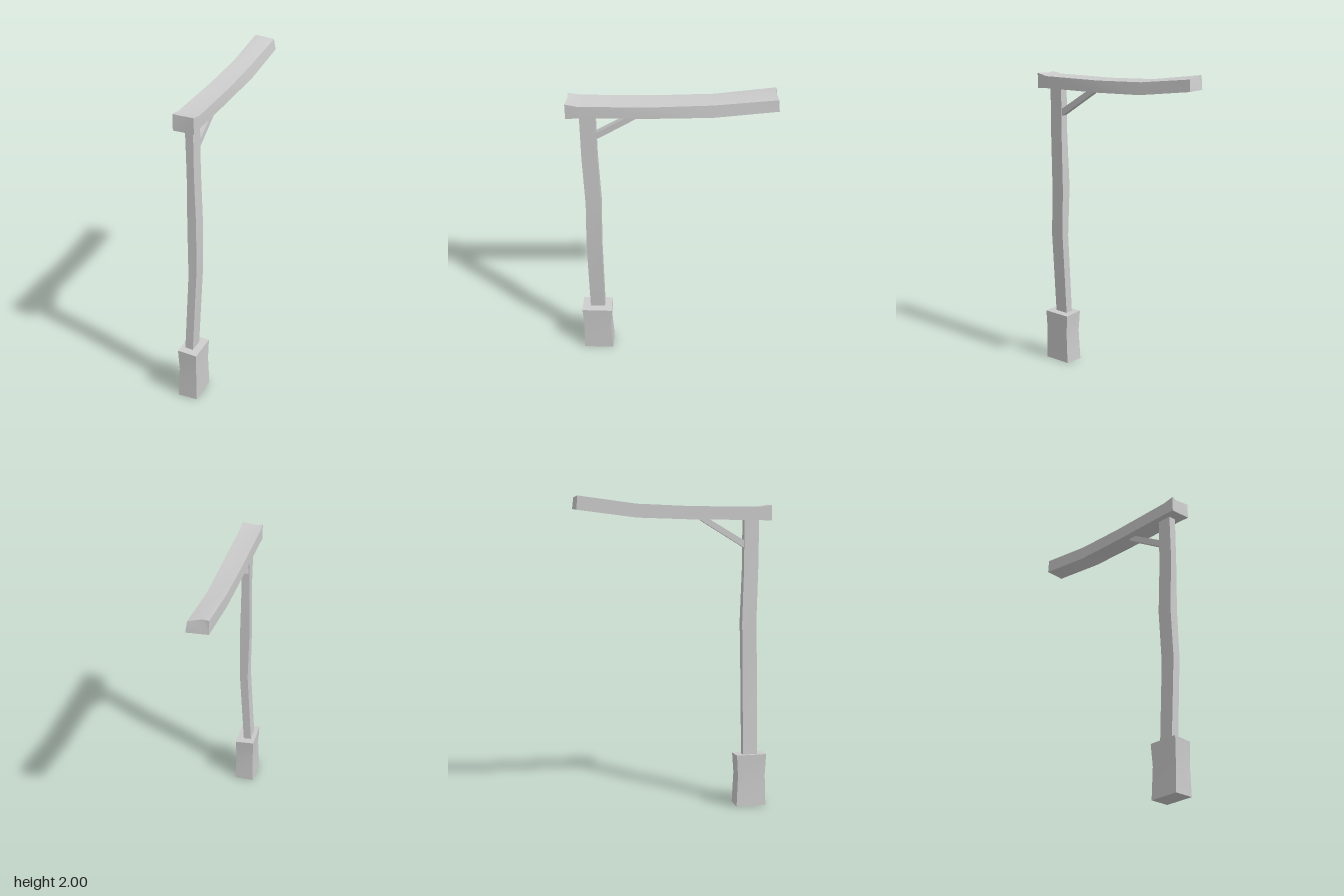
import * as THREE from 'three';
import { toCreasedNormals } from 'three/addons/utils/BufferGeometryUtils.js';

// Skin a run of cross-sections (each a loop of [x, y, z]) and cap both ends.
// Loops run counter-clockwise seen from the end the run heads towards.
function loft(rings) {
  const n = rings[0].length, pos = [];
  const tri = (a, b, c) => pos.push(...a, ...b, ...c);
  for (let i = 0; i < rings.length - 1; i++) {
    const lo = rings[i], hi = rings[i + 1];
    for (let j = 0; j < n; j++) {
      const k = (j + 1) % n;
      tri(lo[j], lo[k], hi[k]);
      tri(lo[j], hi[k], hi[j]);
    }
  }
  const first = rings[0], last = rings[rings.length - 1];
  for (let j = 1; j < n - 1; j++) {
    tri(first[0], first[j + 1], first[j]);
    tri(last[0], last[j], last[j + 1]);
  }
  const geometry = new THREE.BufferGeometry();
  geometry.setAttribute('position', new THREE.Float32BufferAttribute(pos, 3));
  return toCreasedNormals(geometry, Math.PI / 6);
}

// Upright section: back and front left edges may differ to give a slight twist
const upright = ([y, xFront, xBack, x1, z0, z1, drop = 0]) => [
  [xFront, y, z1], [x1, y - drop, z1], [x1, y - drop, z0], [xBack, y, z0],
];

// Beam section across x, with a ridge or dip point near the middle of the top
const beamSection = ([z, bottom, left, mid, right, xTop, endMid = 0, endRight = 0, lean = 0]) => [
  [-0.06, bottom, z - lean], [0.07, bottom, z + endRight - lean],
  [xTop, right, z + endRight], [-0.02, mid, z + endMid], [-0.06, left, z],
];

export function createModel() {
  const model = new THREE.Group();
  const wood = new THREE.MeshStandardMaterial({ color: 0xcccccc });
  wood.name = 'pale grey';
  const add = (name, geometry) => {
    const mesh = new THREE.Mesh(geometry, wood);
    mesh.name = name;
    model.add(mesh);
  };

  // Footing block, slightly pinched at the waist
  add('footing', loft([
    [0, -0.075, -0.075, 0.05, 0.402, 0.596],
    [0.2, -0.066, -0.07, 0.047, 0.411, 0.591],
    [0.34, -0.072, -0.075, 0.05, 0.402, 0.597, 0.01],
  ].map(upright)));

  // Crooked post
  add('post', loft([
    [0.32, -0.047, -0.047, 0.004, 0.45, 0.545],
    [0.87, -0.015, -0.017, 0.036, 0.448, 0.545],
    [1.2, -0.021, -0.027, 0.036, 0.44, 0.535],
    [1.54, -0.014, -0.021, 0.031, 0.45, 0.545],
    [1.85, -0.02, -0.02, 0.03, 0.45, 0.545],
  ].map(upright)));

  // Overhanging beam, rising towards the back
  add('beam', loft([
    [-0.602, 1.915, 2.0, 2.0, 1.985, 0.06, 0.007, -0.011, 0.007],
    [-0.24, 1.865, 1.949, 1.947, 1.94, 0.057],
    [0.1, 1.851, 1.932, 1.929, 1.925, 0.065],
    [0.54, 1.843, 1.926, 1.922, 1.92, 0.07],
    [0.615, 1.838, 1.937, 1.932, 1.935, 0.07, -0.005, 0.005],
  ].map(beamSection)));

  // Slanting brace between post and beam
  const brace = new THREE.Shape([
    [-0.455, 1.667], [-0.17, 1.843], [-0.18, 1.853], [-0.22, 1.853], [-0.455, 1.713],
  ].map(([x, y]) => new THREE.Vector2(x, y)));
  const braceGeometry = new THREE.ExtrudeGeometry(brace, { depth: 0.036, bevelEnabled: false });
  braceGeometry.rotateY(Math.PI / 2).translate(-0.013, 0, 0);
  add('brace', braceGeometry);

  return model;
}
